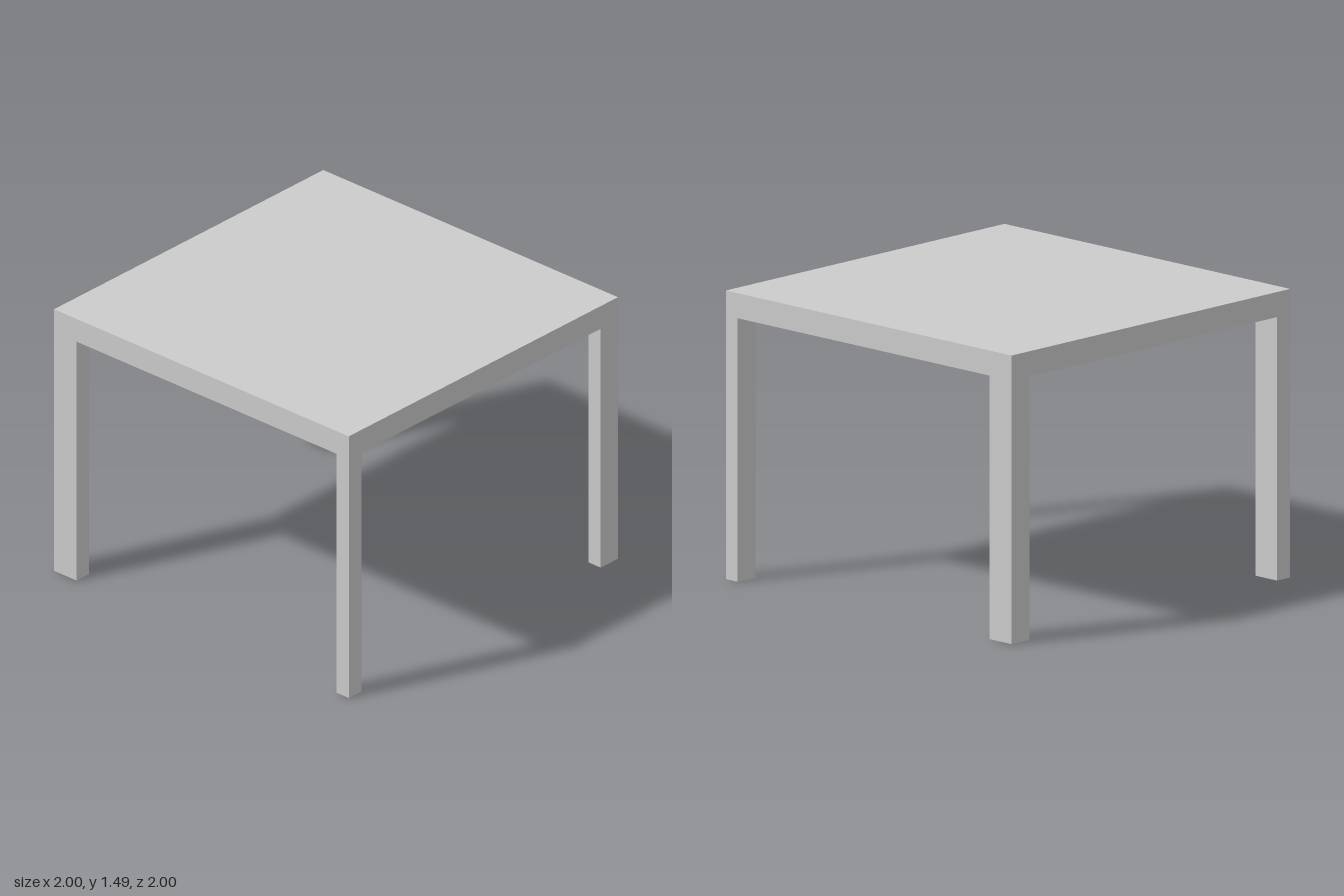
import * as THREE from 'three';

const HEIGHT = 1.487, UNDERSIDE = 1.358;

export function createModel() {
  const table = new THREE.Group();
  table.name = 'table';
  const material = new THREE.MeshStandardMaterial({ color: 0xcccccc });

  const addBox = (name, w, h, d, x, y, z) => {
    const mesh = new THREE.Mesh(new THREE.BoxGeometry(w, h, d), material);
    mesh.name = name;
    mesh.position.set(x, y, z);
    table.add(mesh);
  };

  // Thick square slab
  addBox('tableTop', 2, HEIGHT - UNDERSIDE, 2, 0, (HEIGHT + UNDERSIDE) / 2, 0);

  // Legs flush with the outer corners; wider on the left, deeper at the back
  for (const [side, sx, w] of [['Left', 1, 0.128], ['Right', -1, 0.094]]) {
    for (const [end, sz, d] of [['front', 1, 0.083], ['back', -1, 0.153]]) {
      addBox(`${end}${side}Leg`, w, UNDERSIDE, d,
        sx * (1 - w / 2), UNDERSIDE / 2, sz * (1 - d / 2));
    }
  }
  return table;
}
